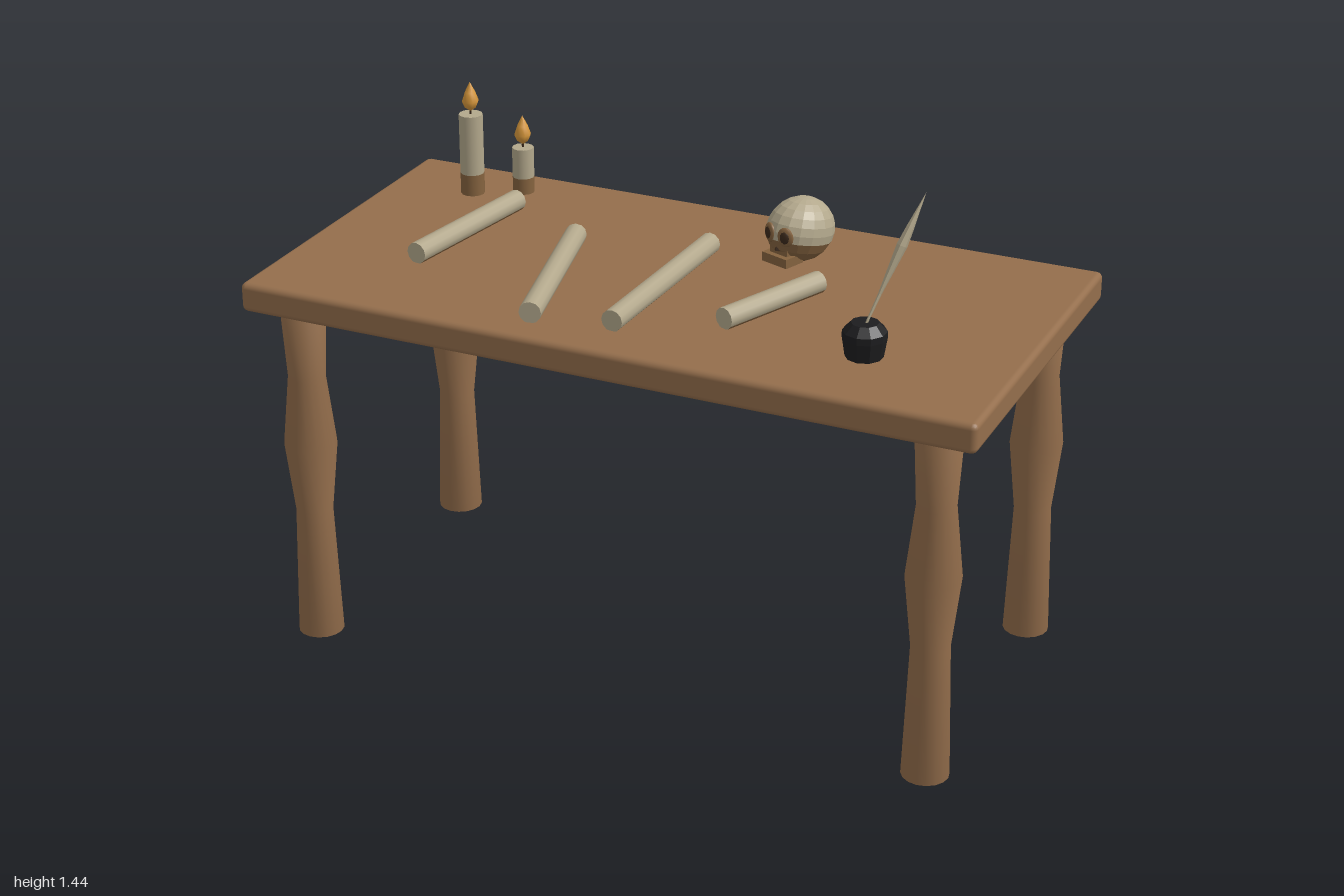
import * as THREE from 'three';
import { RoundedBoxGeometry } from 'three/addons/geometries/RoundedBoxGeometry.js';

const mat = (name, color) => {
  const m = new THREE.MeshStandardMaterial({ color });
  m.name = name;
  return m;
};

// Facet a geometry so every face has its own normal
const flat = (geo) => {
  const g = geo.index ? geo.toNonIndexed() : geo;
  g.computeVertexNormals();
  return g;
};

const lathe = (points, sides) => new THREE.LatheGeometry(points.map(p => new THREE.Vector2(...p)), sides);

export function createModel() {
  const root = new THREE.Group();
  root.name = 'writingTable';

  const wood = mat('wood', 0x946e4c);
  const cream = mat('cream', 0xb3a88c);
  const stained = mat('stainedCream', 0x85633f);
  const socket = mat('socketBrown', 0x3c2a1c);
  const ink = mat('inkBlack', 0x1d1d1f);
  const flame = mat('flameOrange', 0xd8983c);

  const add = (parent, name, geo, material, x = 0, y = 0, z = 0) => {
    const m = new THREE.Mesh(geo, material);
    m.name = name;
    m.position.set(x, y, z);
    parent.add(m);
    return m;
  };
  const group = (name, x = 0, y = 0, z = 0) => {
    const g = new THREE.Group();
    g.name = name;
    g.position.set(x, y, z);
    root.add(g);
    return g;
  };

  // Table top
  add(root, 'tableTop', new RoundedBoxGeometry(2, 0.08, 1, 2, 0.016), wood, 0, 1, 0);

  // Turned legs, smooth from foot to top
  const legGeo = lathe([
    [0, 0], [0.062, 0], [0.05, 0.37], [0.071, 0.565], [0.05, 0.76], [0.061, 0.965], [0, 0.965],
  ], 16);
  for (const sx of [-1, 1]) for (const sz of [-1, 1]) {
    const name = (sz > 0 ? 'front' : 'back') + (sx > 0 ? 'Left' : 'Right') + 'Leg';
    add(root, name, legGeo, wood, sx * 0.876, 0, sz * 0.4);
  }

  // Candles with teardrop flames
  const candle = (name, x, z, r, h, base) => {
    const g = group(name, x, 1.04, z);
    add(g, 'candleBase', new THREE.CylinderGeometry(r, r, base, 12), stained, 0, base / 2, 0);
    add(g, 'wax', new THREE.CylinderGeometry(r, r, h - base, 12), cream, 0, (h + base) / 2, 0);
    add(g, 'wick', new THREE.CylinderGeometry(0.003, 0.003, 0.02, 6), socket, 0, h + 0.008, 0);
    const tear = [[0, 0], [0.016, 0.012], [0.024, 0.03], [0.015, 0.055], [0, 0.084]];
    add(g, 'flame', lathe(tear, 8), flame, 0, h + 0.008, 0);
  };
  candle('tallCandle', -0.752, -0.31, 0.033, 0.23, 0.06);
  candle('shortCandle', -0.628, -0.376, 0.03, 0.13, 0.045);

  // Rolled scrolls, from back end to front end in x and z
  const R = 0.029;
  for (const [x0, z0, x1, z1] of [
    [-0.583, -0.25, -0.65, 0.193], [-0.33, -0.1, -0.207, 0.41],
    [0.019, -0.19, 0, 0.37], [0.375, -0.07, 0.247, 0.242],
  ]) {
    const len = Math.hypot(x1 - x0, z1 - z0);
    const g = group('scroll', (x0 + x1) / 2, 1.04 + R - 0.002, (z0 + z1) / 2);
    g.rotation.y = Math.atan2(x1 - x0, z1 - z0);
    const arc = (start, span, n) => new THREE.CylinderGeometry(R, R, len, n, 1, true, start, span).rotateX(Math.PI / 2);
    add(g, 'scrollUnderside', arc(-1.05, 2.1, 4), stained);
    add(g, 'scrollRoll', arc(1.05, 2 * Math.PI - 2.1, 8), cream);
    add(g, 'scrollFrontEnd', new THREE.CircleGeometry(R, 12), cream, 0, 0, len / 2);
    add(g, 'scrollBackEnd', new THREE.CircleGeometry(R, 12).rotateY(Math.PI), cream, 0, 0, -len / 2);
  }

  // Skull: pale cranium, stained underside rising towards the face, sockets and jaw
  const skull = group('skull', 0.25, 1.125, -0.25);
  skull.rotation.y = -0.35;
  const dome = (start, span, rows) => flat(
    new THREE.SphereGeometry(1, 16, rows, 0, Math.PI * 2, start, span).rotateX(-0.22).scale(0.084, 0.086, 0.098));
  add(skull, 'cranium', dome(0, 1.85, 7), cream);
  add(skull, 'skullUnderside', dome(1.85, Math.PI - 1.85, 4), stained);
  for (const s of [-1, 1]) {
    const eye = new THREE.Group();
    eye.name = 'eye';
    eye.position.set(s * 0.027, 0.008, 0.088);
    eye.rotation.y = s * 0.3;
    skull.add(eye);
    add(eye, 'eyeRim', new THREE.SphereGeometry(1, 10, 8).scale(0.023, 0.027, 0.009), stained);
    add(eye, 'eyeSocket', new THREE.SphereGeometry(1, 10, 8).scale(0.015, 0.018, 0.007), socket, 0, 0, 0.004);
  }
  add(skull, 'noseHole', flat(new THREE.ConeGeometry(0.01, 0.026, 4)), socket, 0, -0.022, 0.088);
  add(skull, 'upperJaw', new THREE.BoxGeometry(0.06, 0.035, 0.05), stained, 0, -0.042, 0.06);
  add(skull, 'lowerJaw', new THREE.BoxGeometry(0.085, 0.025, 0.065), stained, 0, -0.06, 0.068);

  // Inkwell
  const well = [[0, 0], [0.048, 0], [0.056, 0.05], [0.056, 0.068], [0.035, 0.09], [0, 0.09]];
  add(root, 'inkwell', flat(lathe(well, 10)), ink, 0.622, 1.04, 0.247);

  // Quill leaning out of the inkwell
  const foot = new THREE.Vector3(0.62, 1.11, 0.255), tip = new THREE.Vector3(0.723, 1.44, 0.127);
  const dir = tip.clone().sub(foot), L = dir.length();
  const vane = [[0, 0], [0.004, 0.01], [0.006, 0.27 * L], [0.018, 0.62 * L], [0.013, 0.75 * L], [0, L]];
  const quill = add(root, 'quill', flat(lathe(vane, 6).scale(0.75, 1, 1)), cream, foot.x, foot.y, foot.z);
  quill.quaternion.setFromUnitVectors(new THREE.Vector3(0, 1, 0), dir.normalize());

  return root;
}
